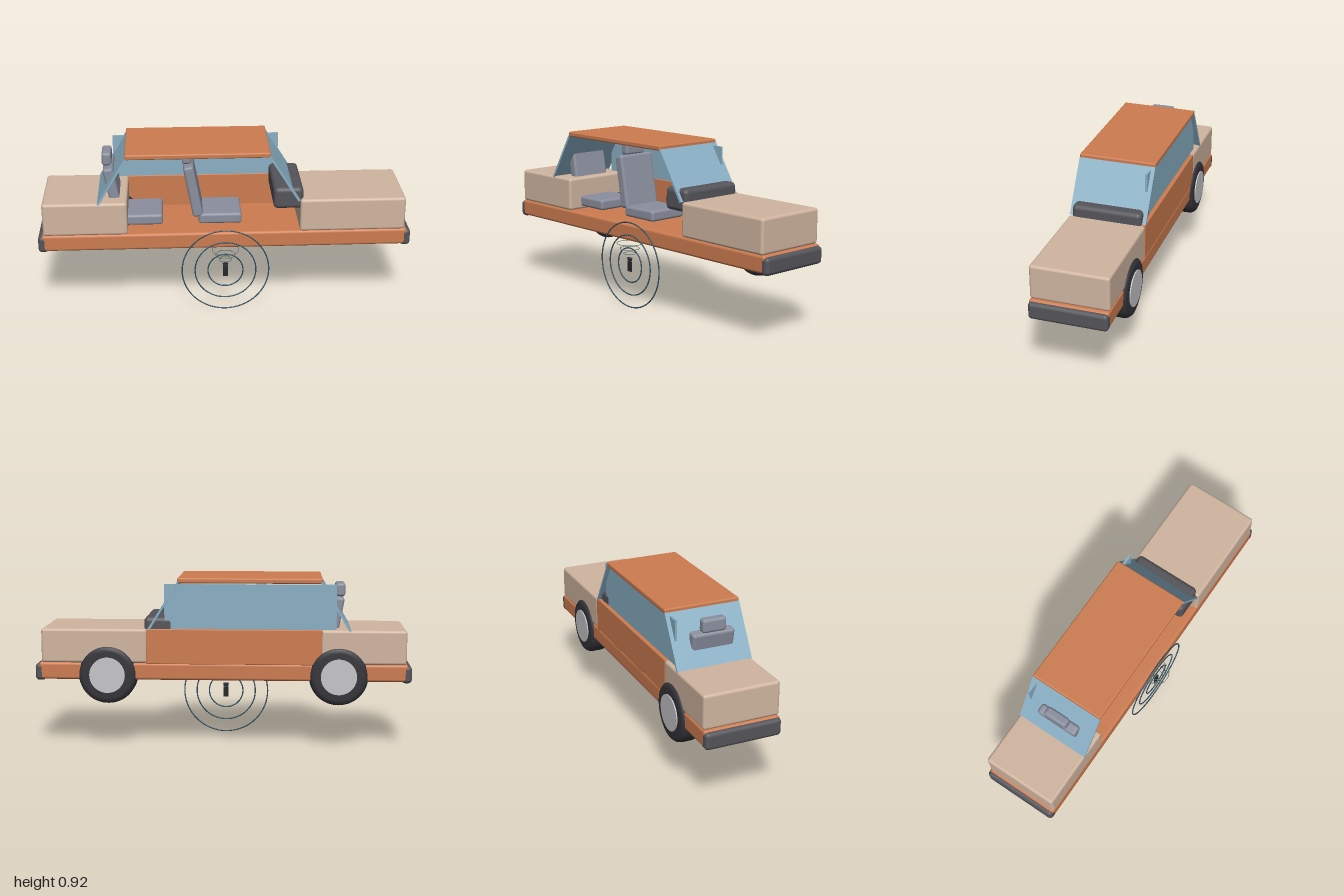
import * as THREE from 'three';
import { RoundedBoxGeometry } from 'three/addons/geometries/RoundedBoxGeometry.js';

const mat = (name, color, side = THREE.FrontSide) => {
  const m = new THREE.MeshStandardMaterial({ color, side });
  m.name = name;
  return m;
};

export function createModel() {
  const car = new THREE.Group();
  car.name = 'cutawayCar';

  const orange = mat('orange paint', 0xcd7c50);
  const beige = mat('beige paint', 0xd0b5a0);
  const charcoal = mat('charcoal trim', 0x55545a);
  const seatGrey = mat('seat grey', 0x8b8f9e);
  const glass = mat('blue glass', 0x8ab0c5);
  const rubber = mat('tyre rubber', 0x35343a);
  const steel = mat('hub grey', 0xc6c6ca);
  const teal = mat('dark teal', 0x335262);
  const green = mat('grey green', 0x4c665c);
  const black = mat('black', 0x25262b);

  const add = (name, geo, material, parent = car) => {
    const m = new THREE.Mesh(geo, material);
    m.name = name;
    parent.add(m);
    return m;
  };

  // Box from its limits on each axis, with rounded edges when r > 0
  const box = (name, [x0, x1], [y0, y1], [z0, z1], r, material, parent) => {
    const s = [x1 - x0, y1 - y0, z1 - z0];
    const geo = r ? new RoundedBoxGeometry(...s, 4, r) : new THREE.BoxGeometry(...s);
    const m = add(name, geo, material, parent);
    m.position.set((x0 + x1) / 2, (y0 + y1) / 2, (z0 + z1) / 2);
    return m;
  };

  const full = [-0.23, 0.18];

  // Body
  box('chassis', [-0.98, 0.98], [0.373, 0.465], full, 0.015, orange);
  box('hood', [0.4, 0.965], [0.463, 0.646], full, 0.015, beige);
  box('trunk', [-0.97, -0.52], [0.463, 0.646], full, 0.015, beige);
  box('farDoor', [-0.525, 0.405], [0.46, 0.646], [-0.23, -0.193], 0.004, orange);
  box('roof', [-0.525, 0.237], [0.89, 0.918], full, 0.008, orange);
  box('frontBumper', [0.945, 1], [0.366, 0.457], full, 0.02, charcoal);
  box('rearBumper', [-1, -0.945], [0.366, 0.457], full, 0.02, charcoal);
  box('dashboard', [0.258, 0.417], [0.587, 0.708], [-0.21, 0.163], 0.025, charcoal);

  // Glass: a flat side pane and two slanted panes
  box('sideWindow', [-0.6, 0.308], [0.64, 0.884], [-0.209, -0.197], 0, glass);
  const slantedPane = (name, xBottom, xTop) => {
    const dx = xTop - xBottom, dy = 0.255;
    const pane = add(name, new THREE.BoxGeometry(0.012, Math.hypot(dx, dy), 0.41), glass);
    pane.position.set((xBottom + xTop) / 2, 0.641 + dy / 2, -0.025);
    pane.rotation.z = -Math.atan2(dx, dy);
  };
  slantedPane('windshield', 0.393, 0.233);
  slantedPane('rearWindow', -0.673, -0.52);

  // Seats
  for (const [name, x] of [['frontSeat', 0], ['rearSeat', -0.425]]) {
    const seat = new THREE.Group();
    seat.name = name;
    seat.position.x = x;
    car.add(seat);
    box('seatCushion', [-0.14, 0.092], [0.48, 0.54], [-0.13, 0.1], 0.015, seatGrey, seat);
    const back = box('seatBack', [-0.196, -0.14], [0.52, 0.812], [-0.13, 0.1], 0.015, seatGrey, seat);
    back.rotation.z = 0.18;
    box('headrest', [-0.225, -0.174], [0.808, 0.88], [-0.08, 0.05], 0.015, seatGrey, seat);
  }

  // Wheels on the far side only
  const tyreProfile = [
    [0, -0.059], [0.125, -0.059], [0.143, -0.054], [0.153, -0.042], [0.157, -0.024],
    [0.157, 0.024], [0.153, 0.042], [0.143, 0.054], [0.125, 0.059], [0, 0.059],
  ].map(([r, y]) => new THREE.Vector2(r, y));
  for (const [name, x] of [['frontWheel', 0.612], ['rearWheel', -0.615]]) {
    const wheel = new THREE.Group();
    wheel.name = name;
    wheel.position.set(x, 0.4, -0.185);
    wheel.rotation.x = Math.PI / 2;
    car.add(wheel);
    add('tyre', new THREE.LatheGeometry(tyreProfile, 48), rubber, wheel);
    add('hub', new THREE.CylinderGeometry(0.095, 0.095, 0.13, 40), steel, wheel);
  }

  // Upright sensor rings around a small emitter on the open side
  const sensor = new THREE.Group();
  sensor.name = 'sensor';
  sensor.position.set(0, 0.241, 0.182);
  car.add(sensor);
  for (const r of [0.235, 0.165, 0.095]) {
    add('uprightRing', new THREE.TorusGeometry(r, 0.0035, 8, 72), teal, sensor);
  }
  box('emitterBody', [-0.014, 0.014], [-0.035, 0.02], [-0.004, 0.004], 0, black, sensor);
  box('emitterCap', [-0.014, 0.014], [0.024, 0.042], [-0.004, 0.004], 0, black, sensor);
  box('emitterStem', [-0.009, 0.009], [0.02, 0.024], [-0.003, 0.003], 0, teal, sensor);

  // Level rings widening upwards
  for (const [r, y] of [[0.016, 0.279], [0.034, 0.307], [0.052, 0.335], [0.07, 0.364]]) {
    const ring = add('levelRing', new THREE.TorusGeometry(r, 0.0014, 6, 40), green, sensor);
    ring.position.y = y - 0.241;
    ring.rotation.x = Math.PI / 2;
  }

  return car;
}
